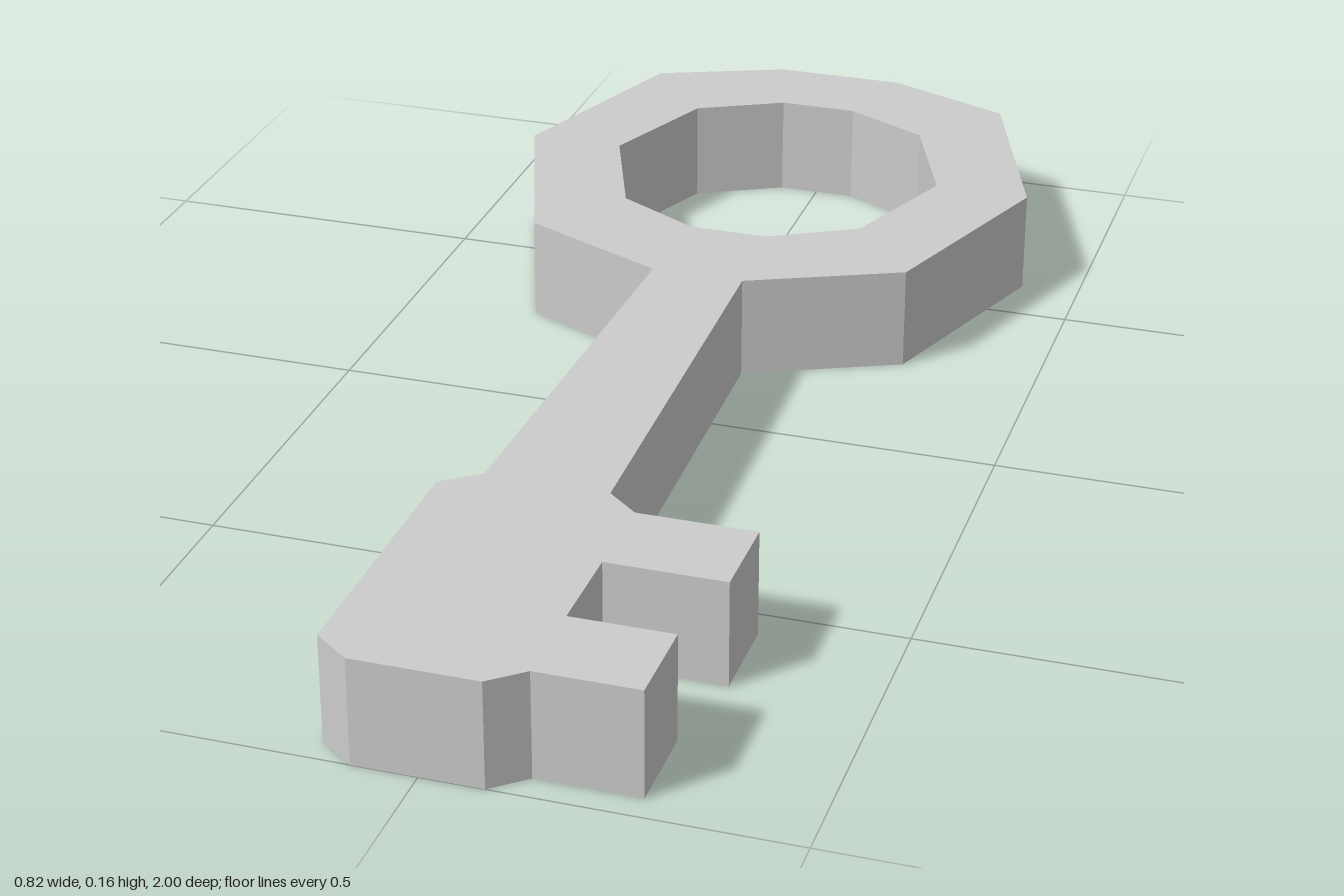
import * as THREE from 'three';

const HEIGHT = 0.155;
const points = (list) => list.map(([x, z]) => new THREE.Vector2(x, z));
const mirrored = (list) => list.map(([x, z]) => [-x, z]).reverse();

export function createModel() {
  // Half outlines (x, z) of the ring handle, from far end towards the shaft
  const bow = [[0.1, -1], [0.296, -0.92], [0.411, -0.598], [0.296, -0.273], [0.07, -0.17]];
  const eye = [[0.06, -0.857], [0.19, -0.79], [0.265, -0.6], [0.19, -0.405], [0.06, -0.333]];

  // Toothed side of the blade, then its plain chamfered side
  const teeth = [
    [0.088, 0.51], [0.135, 0.55],
    [0.305, 0.55], [0.305, 0.685], [0.135, 0.685],
    [0.135, 0.825], [0.28, 0.825], [0.28, 0.96], [0.135, 0.96],
    [0.088, 1],
  ];
  const back = [[-0.09, 1], [-0.143, 0.96], [-0.143, 0.55], [-0.09, 0.51]];

  // One continuous outline with the finger hole cut out
  const shape = new THREE.Shape(points([...bow, ...teeth, ...back, ...mirrored(bow)]));
  shape.holes.push(new THREE.Path(points([...eye, ...mirrored(eye)])));

  // Lay the extrusion flat on the ground
  const geometry = new THREE.ExtrudeGeometry(shape, { depth: HEIGHT, bevelEnabled: false });
  geometry.rotateX(Math.PI / 2).translate(0, HEIGHT, 0);

  const key = new THREE.Mesh(
    geometry,
    new THREE.MeshStandardMaterial({ color: 0xcccccc, flatShading: true })
  );
  key.name = 'keyBody';

  const group = new THREE.Group();
  group.name = 'key';
  group.add(key);
  return group;
}
